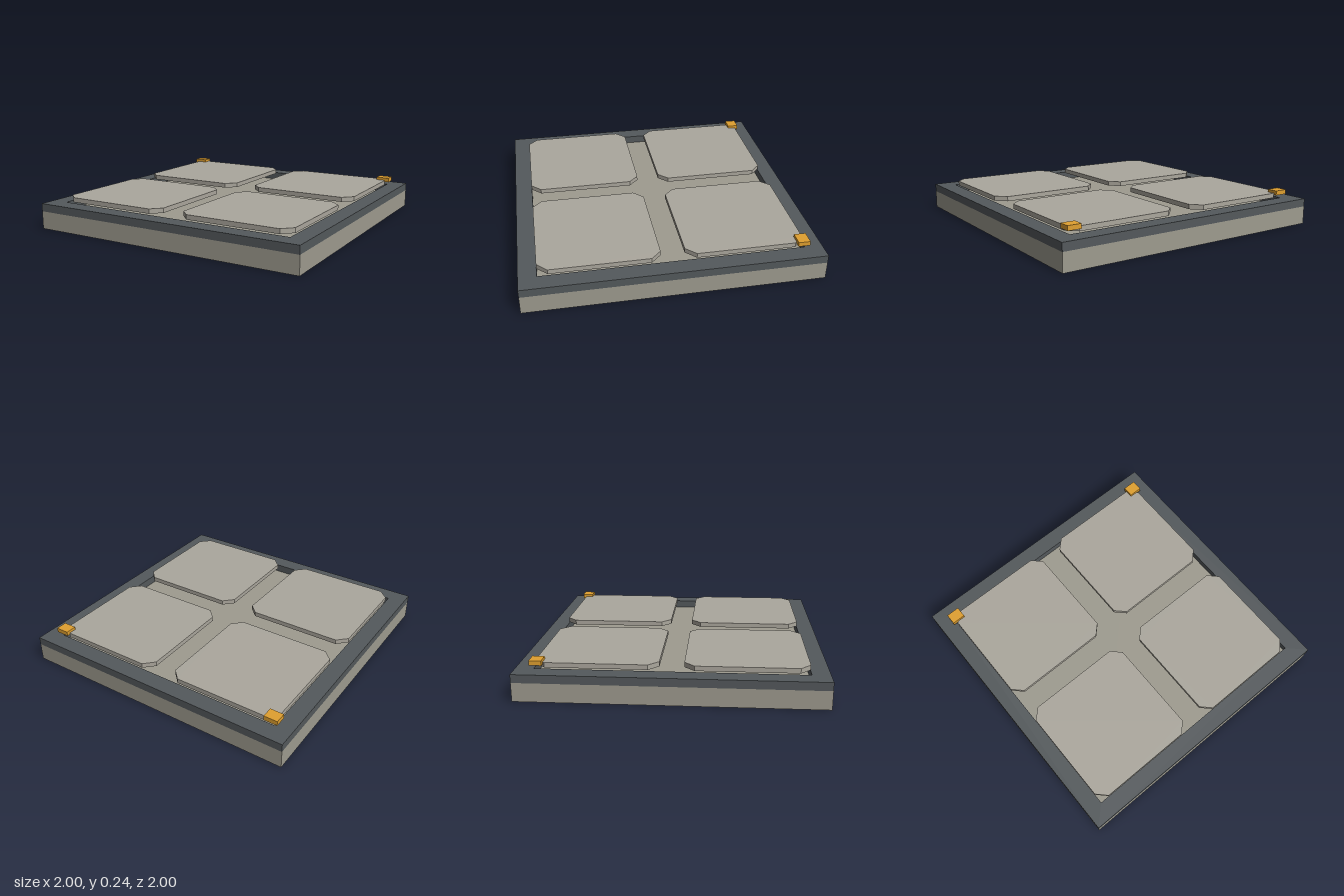
import * as THREE from 'three';

const baseMat = new THREE.MeshStandardMaterial({ color: 0x9e9b8f });
const padMat = new THREE.MeshStandardMaterial({ color: 0xaba79d });
const frameMat = new THREE.MeshStandardMaterial({ color: 0x54595c });
const clipMat = new THREE.MeshStandardMaterial({ color: 0xe0a030 });

function add(group, name, geometry, material, x, y, z) {
  const mesh = new THREE.Mesh(geometry, material);
  mesh.name = name;
  mesh.position.set(x, y, z);
  group.add(mesh);
}

// Extrude a plan-view shape upwards by the given height
function slab(shape, height) {
  const g = new THREE.ExtrudeGeometry(shape, { depth: height, bevelEnabled: false });
  return g.rotateX(-Math.PI / 2);
}

// Square of half size h with corners cut by c
function square(h, c = 0) {
  const pts = c
    ? [[-h + c, -h], [h - c, -h], [h, -h + c], [h, h - c], [h - c, h], [-h + c, h], [-h, h - c], [-h, -h + c]]
    : [[-h, -h], [h, -h], [h, h], [-h, h]];
  return pts.map(([x, y]) => new THREE.Vector2(x, y));
}

export function createModel() {
  const model = new THREE.Group();
  model.name = 'floorTile';

  // Base slab
  add(model, 'base', new THREE.BoxGeometry(2, 0.126, 2), baseMat, 0, 0.063, 0);

  // Raised rim around the recess
  const rim = new THREE.Shape(square(1));
  rim.holes.push(new THREE.Path(square(0.88).reverse()));
  add(model, 'rim', slab(rim, 0.056), frameMat, 0, 0.126, 0);

  // Four panels with cut corners, slightly above the rim
  const panel = slab(new THREE.Shape(square(0.4, 0.068)), 0.033);
  for (const [sx, side] of [[-1, 'Right'], [1, 'Left']]) {
    for (const [sz, end] of [[-1, 'back'], [1, 'front']]) {
      add(model, `${end}${side}Panel`, panel, padMat, sx * 0.48, 0.19, sz * 0.48);
    }
    // Corner marker at the back
    add(model, `back${side}Marker`, new THREE.BoxGeometry(0.096, 0.032, 0.08), clipMat, sx * 0.86, 0.227, -0.863);
  }
  return model;
}
